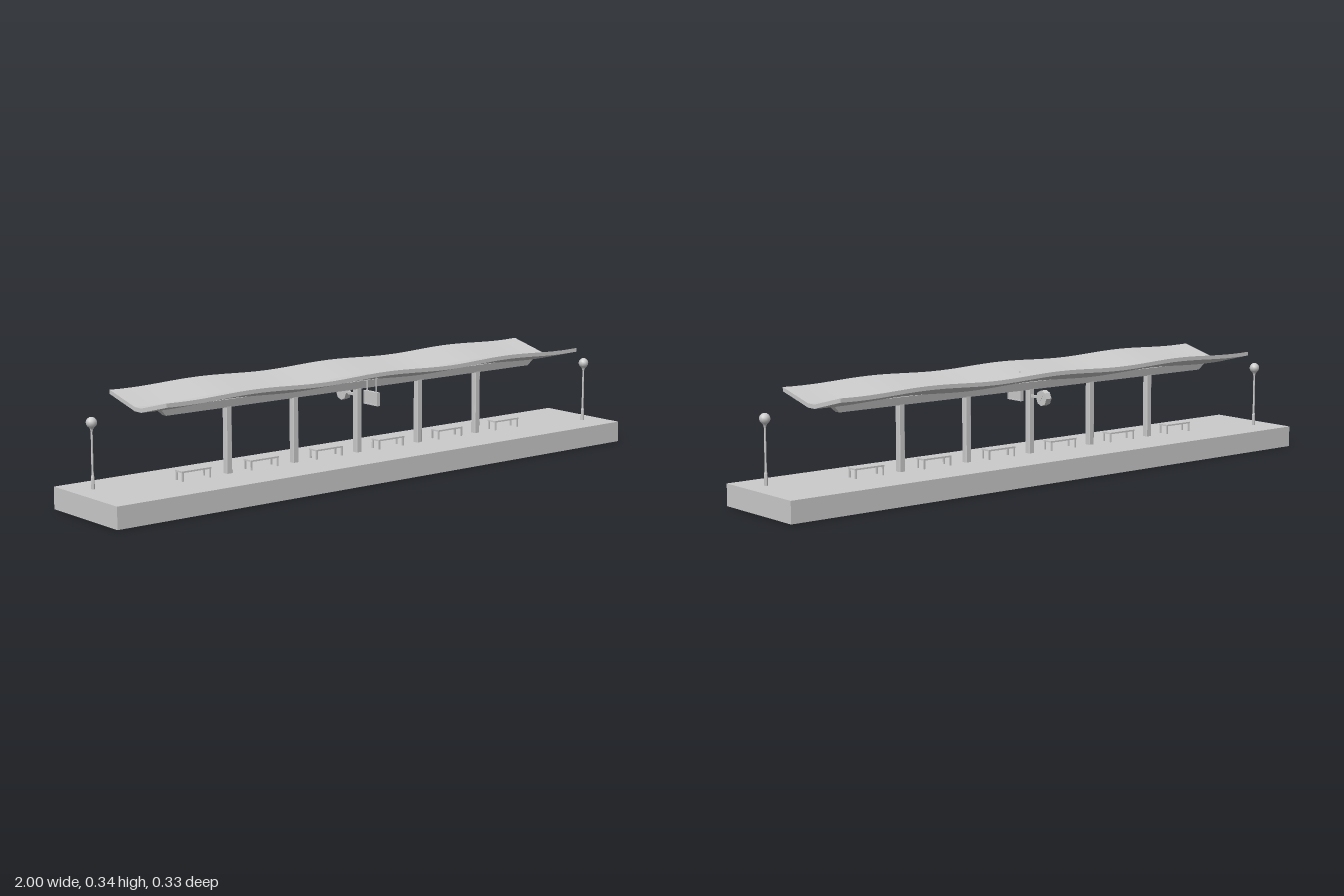
import * as THREE from 'three';
import { toCreasedNormals } from 'three/addons/utils/BufferGeometryUtils.js';

const material = new THREE.MeshStandardMaterial({ color: 0xcccccc });
const flat = new THREE.MeshStandardMaterial({ color: 0xcccccc, flatShading: true });

const DECK = 0.067;

function add(parent, name, geometry, x = 0, y = 0, z = 0, mat = flat) {
  const mesh = new THREE.Mesh(geometry, mat);
  mesh.name = name;
  mesh.position.set(x, y, z);
  parent.add(mesh);
  return mesh;
}

function group(parent, name, x = 0, y = 0, z = 0) {
  const g = new THREE.Group();
  g.name = name;
  g.position.set(x, y, z);
  parent.add(g);
  return g;
}

const box = (w, h, d) => new THREE.BoxGeometry(w, h, d);

// Gull-wing roof: a thin slab folded along its middle, gently waving along x
function canopyGeometry() {
  const geo = new THREE.BoxGeometry(1.63, 0.0125, 0.294, 48, 1, 3);
  const p = geo.attributes.position;
  for (let i = 0; i < p.count; i++) {
    const outer = Math.abs(p.getZ(i)) > 0.1;
    if (!outer) p.setZ(i, Math.sign(p.getZ(i)) * 0.016);
    const wave = 0.0038 * Math.cos(p.getX(i) * Math.PI * 4);
    p.setY(i, p.getY(i) + 0.297 + wave + (outer ? 0.033 : 0));
  }
  return toCreasedNormals(geo, 0.2);
}

// Roof beam: narrower and shorter at the bottom
function beamGeometry() {
  const geo = box(1.5, 0.025, 0.032);
  const p = geo.attributes.position;
  for (let i = 0; i < p.count; i++) {
    if (p.getY(i) < 0) {
      p.setX(i, Math.sign(p.getX(i)) * 0.725);
      p.setZ(i, Math.sign(p.getZ(i)) * 0.01);
    }
  }
  return geo;
}

// Square post with chamfered corners
function columnGeometry(height) {
  const a = 0.0105, b = 0.008;
  const pts = [[a, -b], [a, b], [b, a], [-b, a], [-a, b], [-a, -b], [-b, -a], [b, -a]];
  const shape = new THREE.Shape(pts.map(([x, y]) => new THREE.Vector2(x, y)));
  return new THREE.ExtrudeGeometry(shape, { depth: height, bevelEnabled: false }).rotateX(-Math.PI / 2);
}

function addBench(parent, x) {
  const bench = group(parent, 'bench', x, DECK, 0);
  add(bench, 'benchSeat', box(0.105, 0.005, 0.037), 0, 0.0285, 0);
  for (const sx of [-1, 1]) {
    for (const sz of [-1, 1]) {
      add(bench, 'benchLeg', box(0.005, 0.027, 0.005), sx * 0.049, 0.0135, sz * 0.0155);
    }
  }
}

function addLamp(parent, x, z) {
  const lamp = group(parent, 'lamp', x, DECK, z);
  const profile = [
    [0, 0], [0.0055, 0], [0.0055, 0.034], [0.0035, 0.042],
    [0.003, 0.168], [0.005, 0.176], [0.011, 0.184], [0, 0.184],
  ].map(([r, y]) => new THREE.Vector2(r, y));
  add(lamp, 'lampPost', new THREE.LatheGeometry(profile, 8));
  add(lamp, 'lampGlobe', new THREE.SphereGeometry(0.0165, 10, 8), 0, 0.195, 0, material);
}

// Hanging information board with a raised frame
function addSign(parent) {
  const sign = group(parent, 'hangingSign', 0, 0.247, 0.07);
  add(sign, 'signPanel', box(0.008, 0.036, 0.06));
  for (const s of [-1, 1]) {
    add(sign, 'signFrameRail', box(0.012, 0.004, 0.066), 0, s * 0.019, 0);
    add(sign, 'signFrameStile', box(0.012, 0.034, 0.004), 0, 0, s * 0.031);
    add(sign, 'signRod', box(0.003, 0.05, 0.003), 0, 0.046, s * 0.0215);
  }
}

// Two-faced clock on a bracket
function addClock(parent) {
  const clock = group(parent, 'clock', 0, 0.248, -0.068);
  const disc = (r, d) => new THREE.CylinderGeometry(r, r, d, 8).rotateZ(Math.PI / 2);
  add(clock, 'clockBody', disc(0.022, 0.018));
  for (const s of [-1, 1]) {
    const rim = new THREE.RingGeometry(0.0205, 0.0245, 8);
    rim.rotateY(s * Math.PI / 2);
    add(clock, 'clockRim', rim, s * 0.0105);
    const hand = add(clock, 'clockHand', box(0.001, 0.0015, 0.022), s * 0.0095, 0, 0);
    hand.rotation.x = Math.PI / 4;
  }
  const sleeve = new THREE.CylinderGeometry(0.0245, 0.0245, 0.021, 8, 1, true).rotateZ(Math.PI / 2);
  const sleeveMat = flat.clone();
  sleeveMat.side = THREE.DoubleSide;
  add(clock, 'clockCase', sleeve, 0, 0, 0, sleeveMat);
  add(clock, 'clockBracket', box(0.007, 0.008, 0.04), 0, 0, 0.04);
}

export function createModel() {
  const model = new THREE.Group();
  model.name = 'stationPlatform';

  add(model, 'platform', box(2, DECK, 0.334), 0, DECK / 2, 0);
  add(model, 'canopy', canopyGeometry(), 0, 0, 0, material);
  add(model, 'canopyBeam', beamGeometry(), 0, 0.2805, 0);

  for (let i = -2; i <= 2; i++) {
    add(model, 'column', columnGeometry(0.205), i * 0.25, DECK, 0);
  }
  for (let i = 0; i < 6; i++) addBench(model, -0.625 + i * 0.25);

  addLamp(model, -0.93, -0.067);
  addLamp(model, 0.93, 0.067);
  addSign(model);
  addClock(model);
  return model;
}
